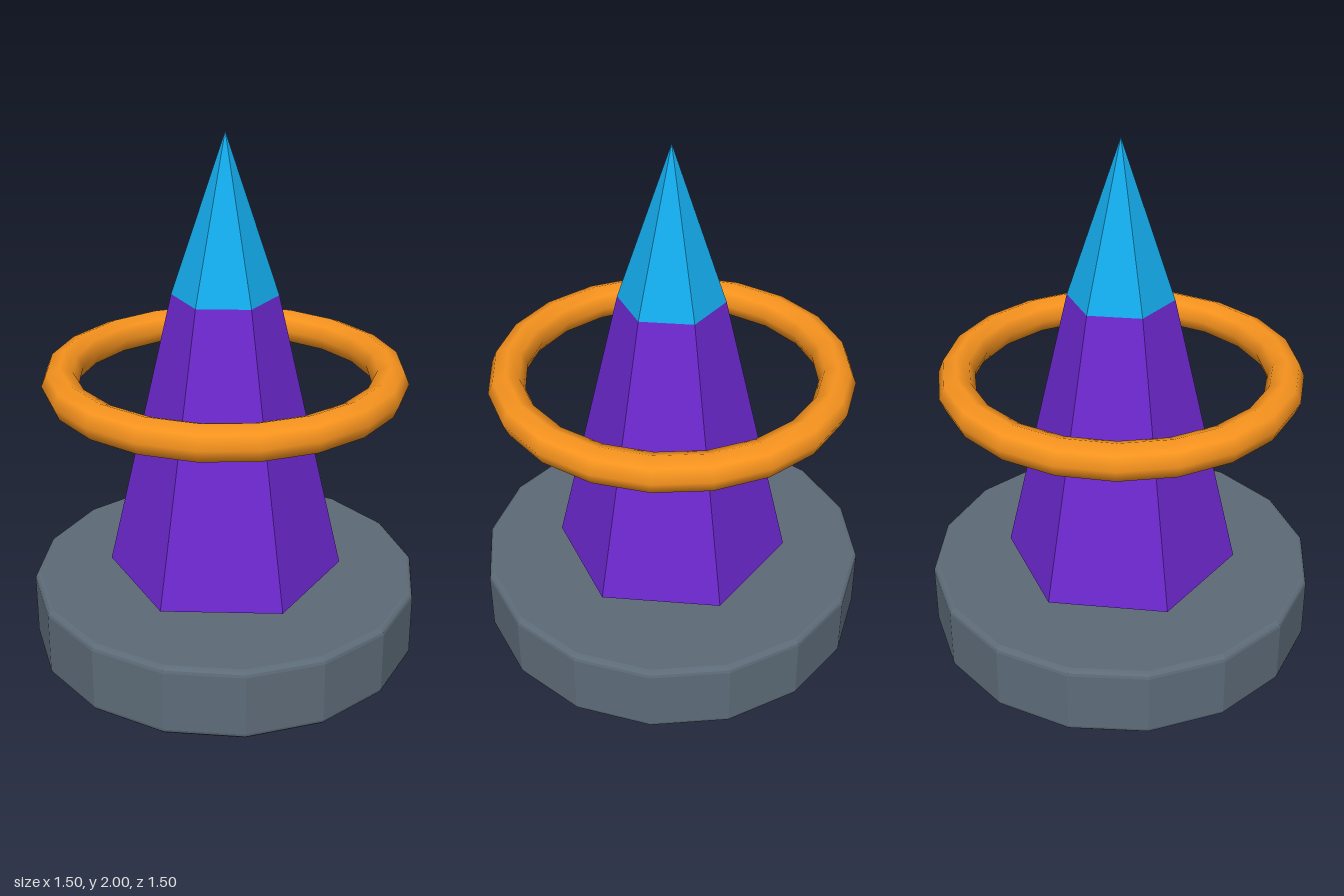
import * as THREE from 'three';

const paint = (color, flatShading) => {
  const material = new THREE.MeshStandardMaterial({ color, flatShading });
  return material;
};

export function createModel() {
  const model = new THREE.Group();

  const add = (name, geometry, color, y, flat = true) => {
    const mesh = new THREE.Mesh(geometry, paint(color, flat));
    mesh.name = name;
    mesh.position.y = y;
    model.add(mesh);
    return mesh;
  };

  // Sixteen-sided plinth with softened rims
  const radius = 0.75, height = 0.28, bevel = 0.022;
  const profile = [new THREE.Vector2(0, 0)];
  for (const [cy, start] of [[bevel, -Math.PI / 2], [height - bevel, 0]]) {
    for (let i = 0; i <= 3; i++) {
      const a = start + (i / 3) * Math.PI / 2;
      profile.push(new THREE.Vector2(radius - bevel + bevel * Math.cos(a), cy + bevel * Math.sin(a)));
    }
  }
  profile.push(new THREE.Vector2(0, height));
  add('base', new THREE.LatheGeometry(profile, 16), 0x5d6b78, 0);

  // Tapered hexagonal body, hovering just above the plinth
  const bodyBottom = 0.3, bodyTop = 1.405, tip = 2;
  const bodyHeight = bodyTop - bodyBottom;
  add('body', new THREE.CylinderGeometry(0.198, 0.453, bodyHeight, 6),
    0x6d28d0, bodyBottom + bodyHeight / 2);

  // Pointed hexagonal cap
  add('spire', new THREE.ConeGeometry(0.198, tip - bodyTop, 6), 0x14aeef, (bodyTop + tip) / 2);

  // Floating ring around the body
  const ring = new THREE.TorusGeometry(0.614, 0.069, 8, 20);
  ring.rotateX(Math.PI / 2);
  add('ring', ring, 0xf7931e, 1.09, false);

  return model;
}
